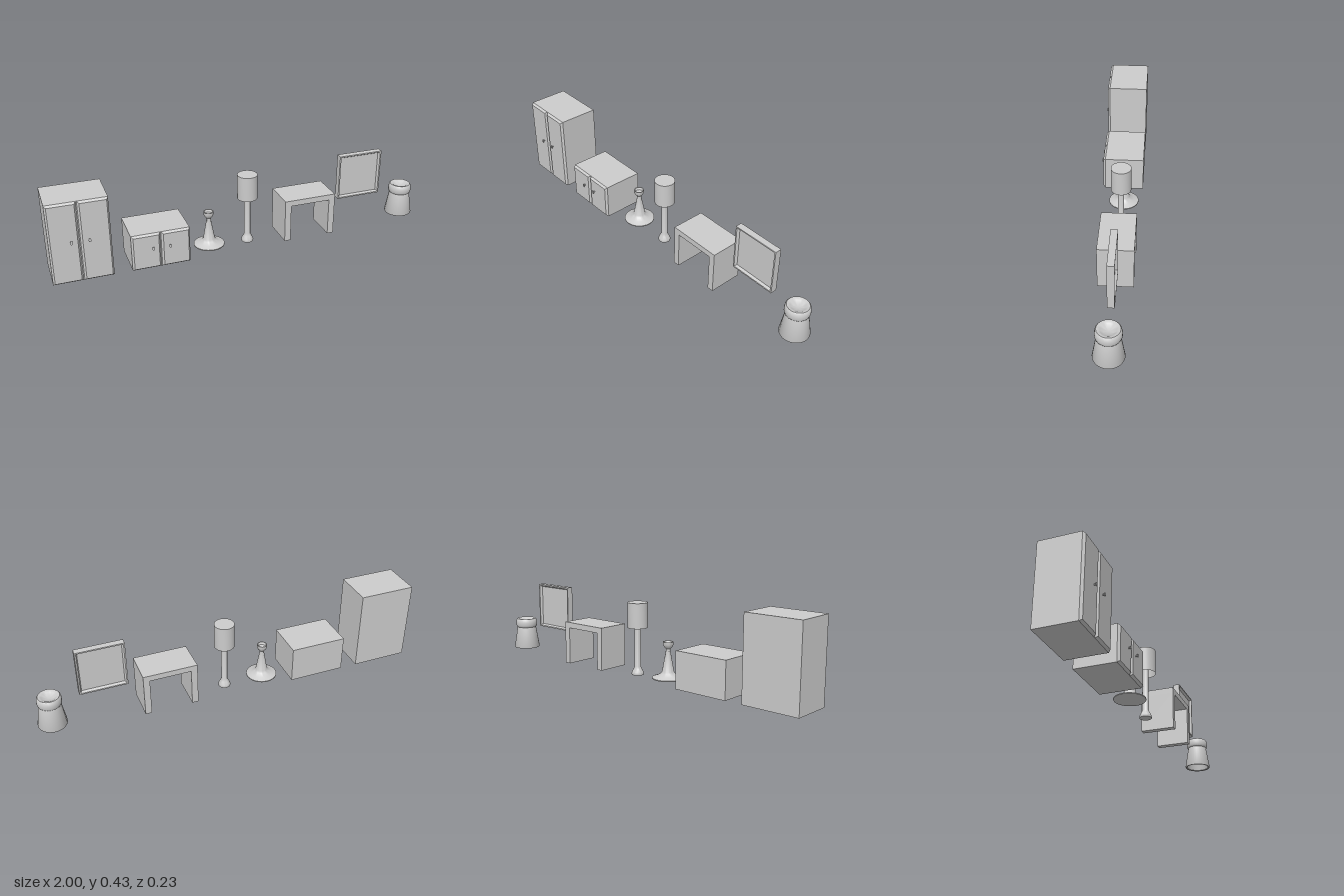
import * as THREE from 'three';
import { toCreasedNormals } from 'three/addons/utils/BufferGeometryUtils.js';

const grey = new THREE.MeshStandardMaterial({ color: 0xcccccc });
const greyOpen = new THREE.MeshStandardMaterial({ color: 0xcccccc, side: THREE.DoubleSide });

function part(parent, name, geometry, x = 0, y = 0, z = 0, material = grey) {
  const mesh = new THREE.Mesh(geometry, material);
  mesh.name = name;
  mesh.position.set(x, y, z);
  parent.add(mesh);
  return mesh;
}

function group(parent, name, x, y, z) {
  const g = new THREE.Group();
  g.name = name;
  g.position.set(x, y, z);
  parent.add(g);
  return g;
}

// Turned shape from [radius, height] pairs, with sharp edges kept
function turned(points, segments = 32, start = 0) {
  const profile = points.map(([r, y]) => new THREE.Vector2(r, y));
  return toCreasedNormals(new THREE.LatheGeometry(profile, segments, start), 0.6);
}

// Slab whose front face is drawn in on all four sides
function bevelledSlab(w, h, d, inset) {
  const g = new THREE.BoxGeometry(w, h, d).toNonIndexed();
  const p = g.attributes.position;
  for (let i = 0; i < p.count; i++) {
    if (p.getZ(i) > 0) {
      p.setX(i, p.getX(i) - Math.sign(p.getX(i)) * inset);
      p.setY(i, p.getY(i) - Math.sign(p.getY(i)) * inset);
    }
  }
  g.computeVertexNormals();
  return g;
}

// Two-door cupboard with small pulls
function cupboard(parent, name, x, height, knobY) {
  const g = group(parent, name, x, 0.005, 0);
  const w = 0.295;
  part(g, 'carcass', new THREE.BoxGeometry(w, height, 0.21), 0, height / 2, -0.01);
  const knob = turned([[0, 0], [0.004, 0], [0.004, 0.006], [0.01, 0.011], [0.01, 0.013], [0, 0.013]], 16);
  knob.rotateX(Math.PI / 2);
  for (const side of [-1, 1]) {
    part(g, 'door', bevelledSlab(0.145, height, 0.012, 0.009), side * 0.075, height / 2, 0.101);
    part(g, 'doorKnob', knob, side * 0.043, knobY - 0.005, 0.106).scale.x = 0.65;
  }
}

export function createModel() {
  const model = new THREE.Group();
  model.name = 'furnitureSet';
  const z = -0.012;

  cupboard(model, 'wardrobe', -0.8525, 0.421, 0.226);
  cupboard(model, 'lowCabinet', -0.4675, 0.19, 0.12);

  // Pedestal stand: broad foot, tapering stem, hollow cup
  part(model, 'pedestalStand', turned([
    [0, 0.017], [0.08, 0.017], [0.08, 0.022], [0.055, 0.031], [0.036, 0.043], [0.03, 0.053],
    [0.012, 0.155], [0.012, 0.168], [0.021, 0.178], [0.026, 0.19], [0.026, 0.204],
    [0.022, 0.204], [0.017, 0.192], [0, 0.186],
  ]), -0.187, 0, -0.015);

  // Floor lamp with an open-bottomed shade
  const lamp = group(model, 'floorLamp', 0.023, 0, z);
  part(lamp, 'lampStem', turned([
    [0, 0], [0.031, 0], [0.032, 0.006], [0.03, 0.014], [0.022, 0.03], [0.016, 0.042], [0.016, 0.375], [0, 0.375],
  ]));
  part(lamp, 'lampShade', turned([[0.052, 0.248], [0.052, 0.379], [0, 0.379]]), 0, 0, 0, greyOpen);

  // Table: top on two slab legs
  const table = group(model, 'table', 0.34, 0.005, z);
  part(table, 'tableTop', new THREE.BoxGeometry(0.28, 0.03, 0.177), 0, 0.213, 0);
  for (const side of [-1, 1]) {
    part(table, 'tableLeg', new THREE.BoxGeometry(0.033, 0.198, 0.177), side * 0.1235, 0.099, 0);
  }

  // Square frame, recessed on both faces: a four-sided turned profile
  const k = Math.SQRT2;
  const frame = turned([
    [0, -0.004], [0.108 * k, -0.004], [0.115 * k, -0.017], [0.122 * k, -0.017],
    [0.122 * k, 0.017], [0.115 * k, 0.017], [0.108 * k, 0.004], [0, 0.004],
  ], 4, Math.PI / 4);
  frame.rotateX(Math.PI / 2);
  part(model, 'wallFrame', frame, 0.659, 0.284, z);

  // Stool: hollow flared base and dished cushion
  const stool = group(model, 'stool', 0.926, 0, z);
  part(stool, 'stoolBase', turned([
    [0.04, 0.14], [0.062, 0.02], [0.066, 0.017], [0.071, 0.017], [0.073, 0.022], [0.054, 0.137], [0.052, 0.146],
  ]), 0, 0, 0, greyOpen);
  part(stool, 'stoolCushion', turned([
    [0, 0.137], [0.052, 0.137], [0.058, 0.142], [0.061, 0.152], [0.061, 0.167], [0.058, 0.182],
    [0.053, 0.188], [0.045, 0.188], [0.036, 0.182], [0.022, 0.174], [0, 0.171],
  ]));

  return model;
}
